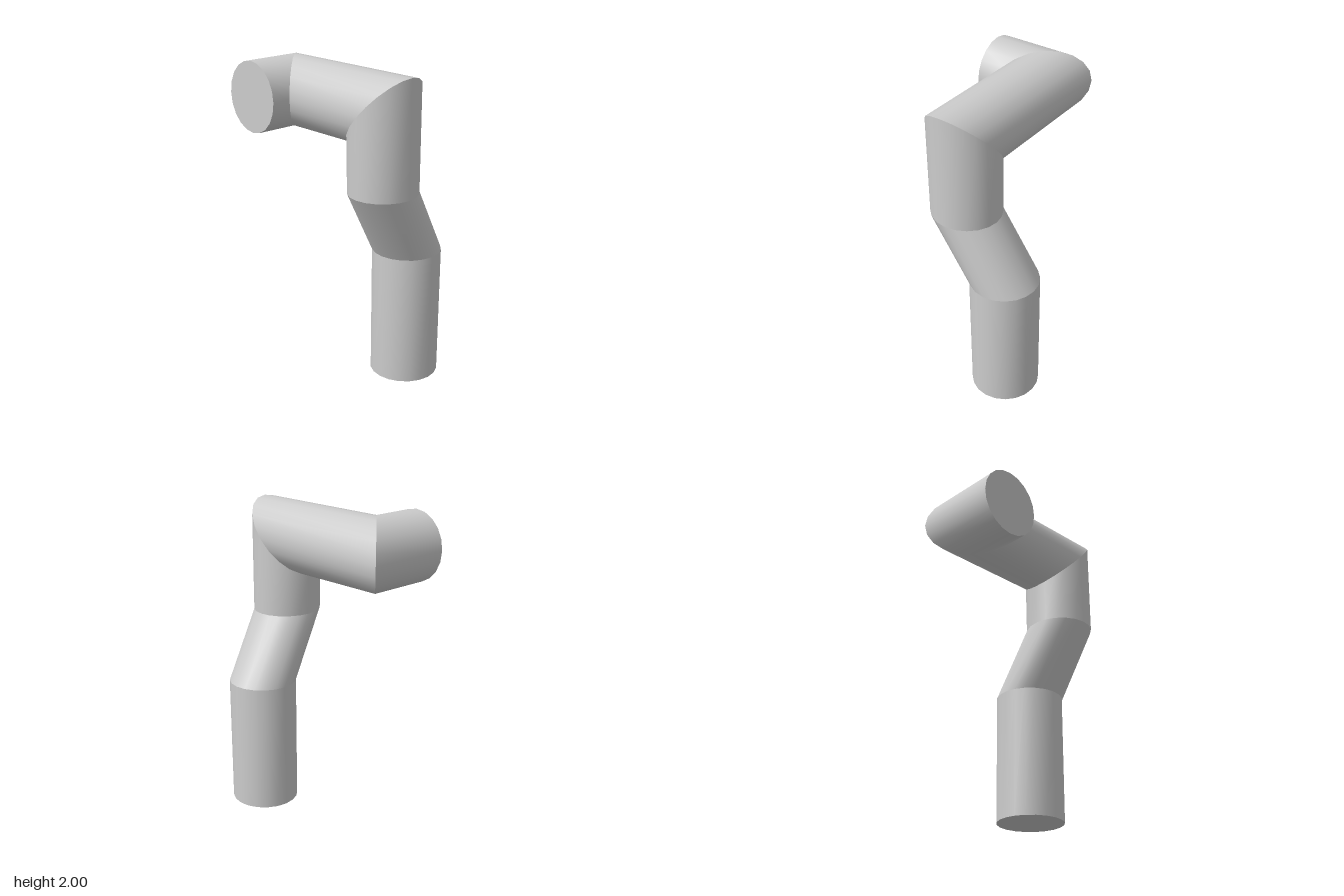
import * as THREE from 'three';

const SIDES = 20;
const V = (x, y, z) => new THREE.Vector3(x, y, z);

// Each joint ring: centre and the two half-axes of its ellipse
const rings = [
  { c: V(0.1875, 0, 0.365), u: V(0.2185, 0, 0), v: V(0, 0, 0.22) },
  { c: V(0.1875, 0.845, 0.365), u: V(0.2185, 0, 0), v: V(0, 0, 0.22) },
  { c: V(-0.0625, 1.28, 0.4), u: V(0.2225, 0, 0), v: V(0, 0, 0.212) },
  { c: V(-0.0625, 1.775, 0.395), u: V(0.2225, 0, 0), v: V(0, 0.225, 0.215) },
  { c: V(-0.0625, 1.775, -0.4025), u: V(0.2225, 0, -0.2125), v: V(0, 0.225, 0) },
  { c: V(-0.41, 1.775, -0.4025), u: V(0, 0, -0.2125), v: V(0, 0.225, 0) },
];
const names = ['lowerPipe', 'slantedPipe', 'upperPipe', 'horizontalPipe', 'sidePipe'];

function ringPoints({ c, u, v }) {
  return Array.from({ length: SIDES }, (_, i) => {
    const a = (i / SIDES) * Math.PI * 2;
    return c.clone().addScaledVector(u, Math.cos(a)).addScaledVector(v, Math.sin(a));
  });
}

function buildGeometry(points, index) {
  const geometry = new THREE.BufferGeometry().setFromPoints(points);
  geometry.setIndex(index);
  geometry.computeVertexNormals();
  return geometry;
}

// Smooth tube between two rings; separate sections keep the mitres sharp
function section(a, b) {
  const index = [];
  for (let i = 0; i < SIDES; i++) {
    const j = (i + 1) % SIDES;
    index.push(i, i + SIDES, j, j, i + SIDES, j + SIDES);
  }
  return buildGeometry([...ringPoints(a), ...ringPoints(b)], index);
}

// Flat disc closing a ring
function cap(ring, flip) {
  const index = [];
  for (let i = 0; i < SIDES; i++) {
    const j = (i + 1) % SIDES;
    index.push(SIDES, flip ? j : i, flip ? i : j);
  }
  return buildGeometry([...ringPoints(ring), ring.c], index);
}

export function createModel() {
  const group = new THREE.Group();
  group.name = 'bentPipe';
  const material = new THREE.MeshStandardMaterial({ color: 0xcccccc });
  const add = (name, geometry) => {
    const mesh = new THREE.Mesh(geometry, material);
    mesh.name = name;
    group.add(mesh);
  };

  names.forEach((name, i) => add(name, section(rings[i], rings[i + 1])));
  add('bottomCap', cap(rings[0], false));
  add('sideCap', cap(rings[rings.length - 1], true));
  return group;
}
